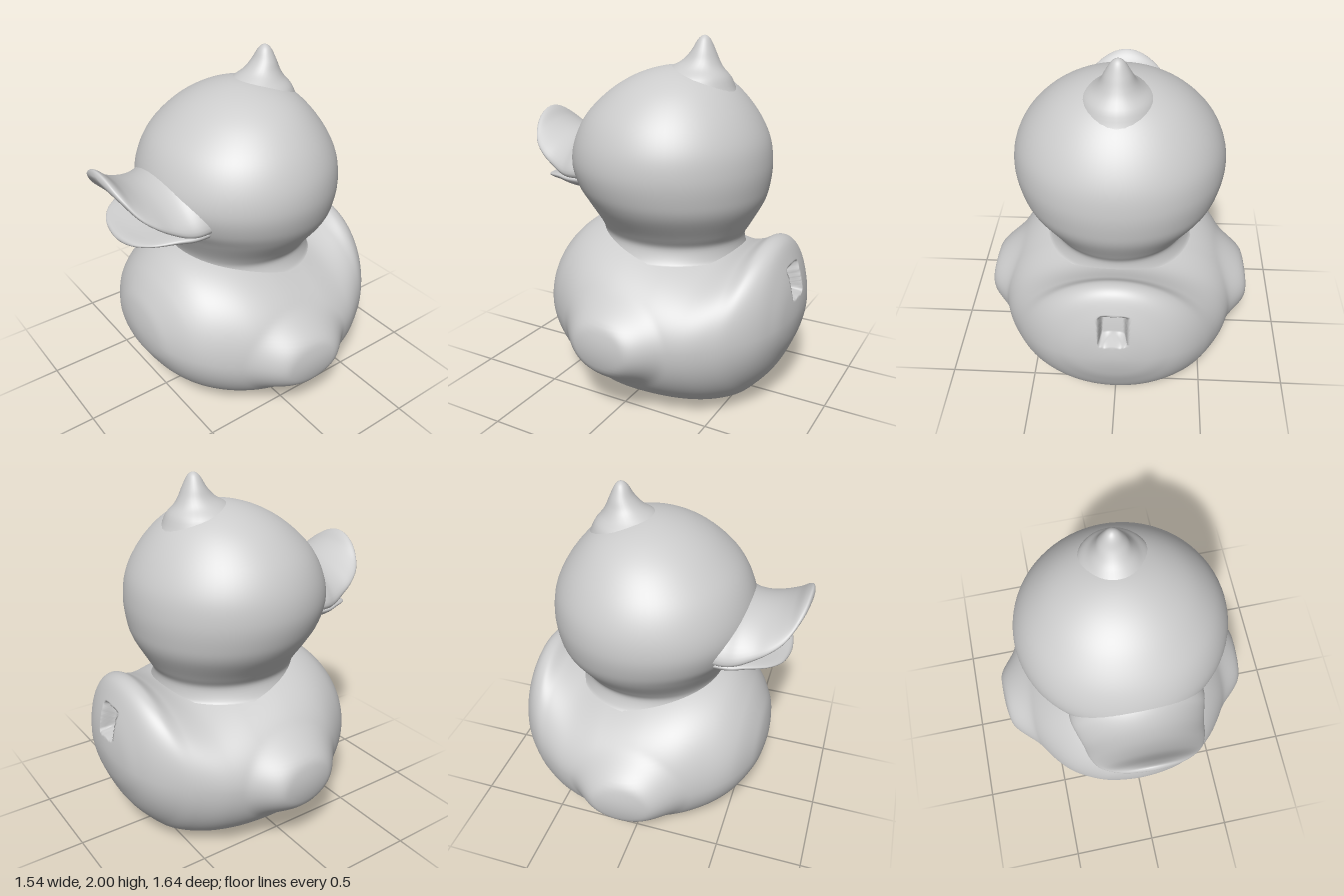
import * as THREE from 'three';
import { mergeVertices } from 'three/addons/utils/BufferGeometryUtils.js';

const smooth = THREE.MathUtils.smoothstep;

// Catmull-Rom through rows of numbers; the ends round off into a dome
function sampleRows(keys, perKey) {
  const n = keys.length;
  const extend = (a, b) => a.map((v, c) => (c === 0 ? b[0] : 2 * v - b[c]));
  const k = [extend(keys[0], keys[1]), ...keys, extend(keys[n - 1], keys[n - 2])];
  const rows = [];
  for (let s = 0; s <= (n - 1) * perKey; s++) {
    const i = Math.min(Math.floor(s / perKey), n - 2);
    const t = s / perKey - i;
    rows.push(keys[0].map((_, c) => {
      const [p0, p1, p2, p3] = [k[i][c], k[i + 1][c], k[i + 2][c], k[i + 3][c]];
      return p1 + 0.5 * t * (p2 - p0 + t * (2 * p0 - 5 * p1 + 4 * p2 - p3 + t * (3 * (p1 - p2) + p3 - p0)));
    }));
  }
  return rows;
}

// Skin closed cross-sections; place(row, cos, sin) gives one point
function loft(name, keys, perKey, sides, place) {
  const rows = sampleRows(keys, perKey);
  const pos = [], index = [];
  rows.forEach((row, i) => {
    for (let j = 0; j < sides; j++) {
      const a = (j / sides) * Math.PI * 2;
      pos.push(...place(row, Math.cos(a), Math.sin(a)));
      if (i === rows.length - 1) continue;
      const p = i * sides + j, q = i * sides + ((j + 1) % sides);
      index.push(p, p + sides, q, q, p + sides, q + sides);
    }
  });
  let geo = new THREE.BufferGeometry();
  geo.setAttribute('position', new THREE.Float32BufferAttribute(pos, 3));
  geo.setIndex(index);
  geo = mergeVertices(geo, 1e-5);
  geo.computeVertexNormals();
  const mesh = new THREE.Mesh(geo, new THREE.MeshStandardMaterial({ color: 0xcccccc }));
  mesh.name = name;
  return mesh;
}

// Upright section: [y, half width, front z, back z]
const upright = ([y, w, front, back], c, s) =>
  [w * c, y, (front + back) / 2 + ((front - back) / 2) * s];

// Bill section: [z, half width, top, bottom, droop of the side edges]
const billSection = ([z, w, top, bottom, droop], c, s) =>
  [w * c, (top + bottom) / 2 + ((top - bottom) / 2) * s - droop * c * c, z];

// Body section: [z, half width, top, bottom, height of widest point]
function bodySection([z, w, top, bottom, mid], c, s) {
  let x = w * c;
  const y = Math.max(0, mid + s * (s > 0 ? top - mid : mid - bottom));
  // wing bulges on both sides
  const r = Math.hypot(z / 0.3, (y - 0.44) / 0.24);
  if (w > 0.4) x += Math.sign(c) * 0.085 * (1 - smooth(r, 0.5, 1.15)) * smooth(Math.abs(c), 0.3, 0.7);
  // square pocket in the back of the tail
  if (z < -0.7) {
    const edge = Math.max(Math.abs(x) / 0.07, Math.abs(y - 0.72) / 0.08);
    z += 0.08 * (1 - smooth(edge, 0.9, 1.1));
  }
  return [x, y, z];
}

export function createModel() {
  const duck = new THREE.Group();
  duck.name = 'duck';

  duck.add(loft('body', [
    [0.67, 0, 0.52, 0.52, 0.52],
    [0.655, 0.16, 0.64, 0.41, 0.52],
    [0.62, 0.28, 0.73, 0.33, 0.5],
    [0.54, 0.42, 0.84, 0.21, 0.49],
    [0.42, 0.53, 0.93, 0.1, 0.47],
    [0.25, 0.63, 0.965, 0.01, 0.46],
    [0.05, 0.68, 0.95, -0.05, 0.45],
    [-0.2, 0.68, 0.89, -0.05, 0.45],
    [-0.4, 0.63, 0.85, -0.03, 0.46],
    [-0.55, 0.55, 0.89, 0.02, 0.48],
    [-0.64, 0.48, 0.94, 0.1, 0.5],
    [-0.71, 0.4, 0.92, 0.19, 0.51],
    [-0.76, 0.31, 0.83, 0.29, 0.52],
    [-0.8, 0.19, 0.7, 0.4, 0.53],
    [-0.82, 0, 0.54, 0.54, 0.54],
  ], 14, 144, bodySection));

  duck.add(loft('head', [
    [0.82, 0.42, 0.4, -0.47],
    [0.9, 0.385, 0.37, -0.455],
    [0.97, 0.42, 0.375, -0.49],
    [1.1, 0.515, 0.44, -0.56],
    [1.2, 0.56, 0.5, -0.585],
    [1.32, 0.58, 0.53, -0.592],
    [1.45, 0.56, 0.505, -0.57],
    [1.58, 0.495, 0.435, -0.505],
    [1.7, 0.385, 0.31, -0.41],
    [1.78, 0.26, 0.18, -0.31],
    [1.825, 0.13, 0.05, -0.19],
    [1.84, 0, -0.07, -0.07],
  ], 6, 72, upright));

  duck.add(loft('tuft', [
    [1.7, 0.22, 0.05, -0.41],
    [1.78, 0.19, 0.04, -0.365],
    [1.83, 0.13, -0.03, -0.325],
    [1.87, 0.095, -0.1, -0.302],
    [1.92, 0.07, -0.15, -0.28],
    [1.97, 0.042, -0.18, -0.257],
    [1.992, 0.022, -0.2, -0.24],
    [2, 0, -0.22, -0.22],
  ], 5, 32, upright));

  duck.add(loft('upperBill', [
    [0.82, 0, 1.525, 1.525, 0],
    [0.808, 0.11, 1.55, 1.49, 0.02],
    [0.78, 0.19, 1.535, 1.45, 0.04],
    [0.73, 0.26, 1.49, 1.39, 0.06],
    [0.66, 0.3, 1.455, 1.33, 0.07],
    [0.58, 0.32, 1.44, 1.27, 0.08],
    [0.5, 0.345, 1.45, 1.24, 0.1],
    [0.42, 0.365, 1.49, 1.24, 0.12],
    [0.3, 0.36, 1.52, 1.24, 0.12],
  ], 6, 48, billSection));

  duck.add(loft('lowerBill', [
    [0.745, 0, 1.155, 1.155, 0],
    [0.735, 0.09, 1.172, 1.138, -0.005],
    [0.71, 0.17, 1.18, 1.135, -0.015],
    [0.65, 0.25, 1.19, 1.13, -0.03],
    [0.55, 0.31, 1.215, 1.125, -0.035],
    [0.45, 0.345, 1.23, 1.11, -0.035],
    [0.3, 0.34, 1.24, 1.08, -0.05],
  ], 6, 48, billSection));

  return duck;
}
